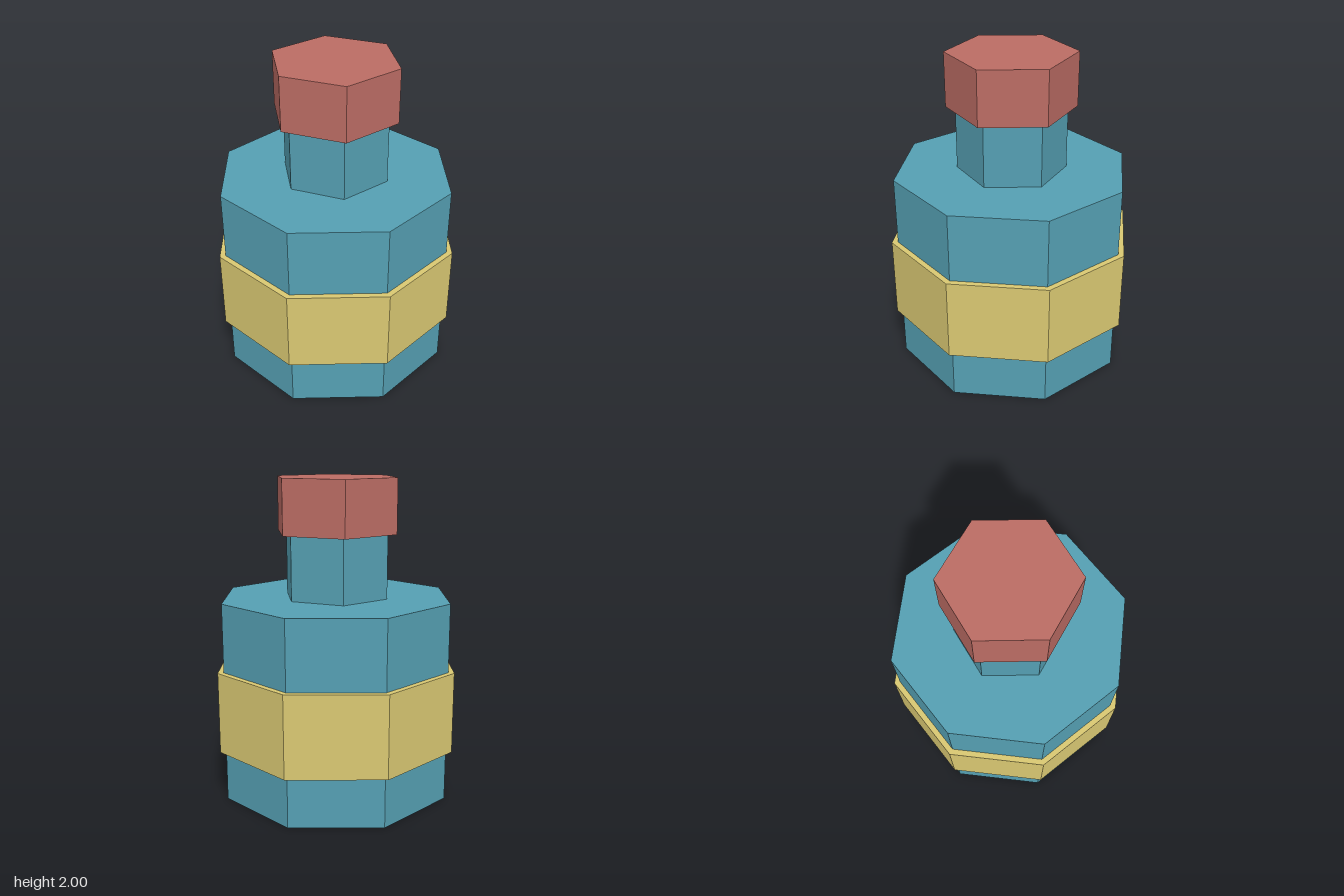
import * as THREE from 'three';

const teal = new THREE.MeshStandardMaterial({ color: 0x559fb2, flatShading: true });
const yellow = new THREE.MeshStandardMaterial({ color: 0xd9c872, flatShading: true });
const red = new THREE.MeshStandardMaterial({ color: 0xbb6c64, flatShading: true });
teal.name = 'teal glass';
yellow.name = 'yellow label';
red.name = 'red cap';

// Upright prism between two heights, with its first corner turned by the given angle
function prism(name, material, sides, radius, bottom, top, turn = 0) {
  const geometry = new THREE.CylinderGeometry(radius, radius, top - bottom, sides, 1, false, turn);
  const mesh = new THREE.Mesh(geometry, material);
  mesh.name = name;
  mesh.position.y = (bottom + top) / 2;
  return mesh;
}

export function createModel() {
  const bottle = new THREE.Group();
  bottle.name = 'bottle';
  const hexTurn = Math.PI / 6; // hexagon corners point along x
  bottle.add(
    prism('body', teal, 8, 0.744, 0, 1.26),
    prism('label', yellow, 8, 0.782, 0.318, 0.832),
    prism('neck', teal, 6, 0.342, 1.26, 1.66, hexTurn),
    prism('cap', red, 6, 0.4, 1.66, 2, hexTurn)
  );
  return bottle;
}
